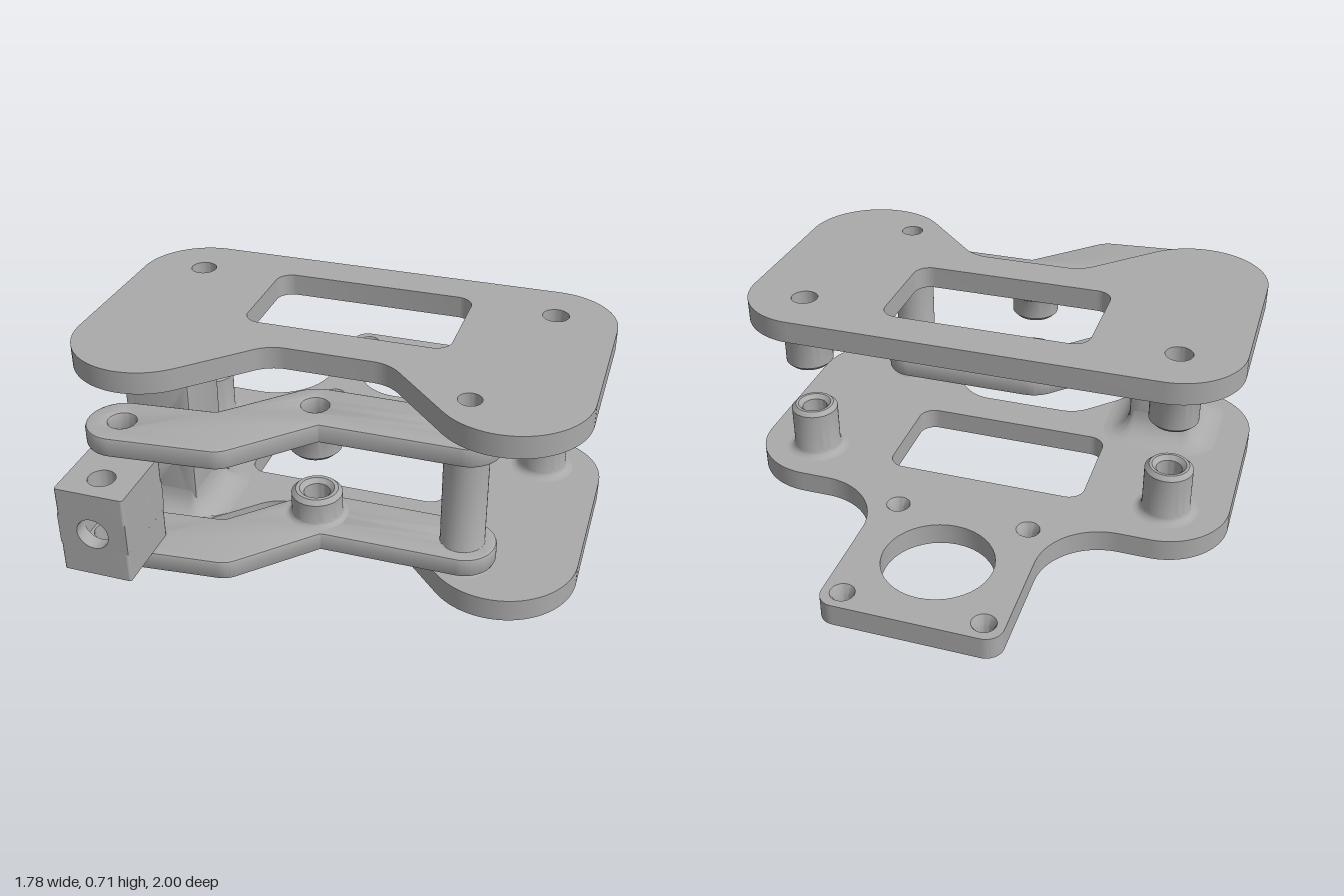
import * as THREE from 'three';
import { toCreasedNormals } from 'three/addons/utils/BufferGeometryUtils.js';

const grey = new THREE.MeshStandardMaterial({ color: 0xaaaaaa });
grey.name = 'plainGrey';

// Trace a closed polygon of [x, y, cornerRadius] with true arcs at the corners
function roundedShape(points) {
  const shape = new THREE.Shape();
  const n = points.length;
  points.forEach(([x, y, r], i) => {
    const p = new THREE.Vector2(x, y);
    const a = new THREE.Vector2(...points[(i + n - 1) % n]).sub(p).normalize();
    const b = new THREE.Vector2(...points[(i + 1) % n]).sub(p).normalize();
    const half = Math.acos(a.dot(b)) / 2;
    const t = r / Math.tan(half);
    const c = a.clone().add(b).normalize().multiplyScalar(r / Math.sin(half)).add(p);
    const s = a.multiplyScalar(t).add(p), e = b.multiplyScalar(t).add(p);
    const clockwise = s.clone().sub(p).cross(e.clone().sub(p)) > 0;
    if (i === 0) shape.moveTo(s.x, s.y); else shape.lineTo(s.x, s.y);
    shape.absarc(c.x, c.y, r, Math.atan2(s.y - c.y, s.x - c.x), Math.atan2(e.y - c.y, e.x - c.x), clockwise);
  });
  shape.closePath();
  return shape;
}

const rect = (x0, x1, y0, y1, r) => roundedShape([[x0, y0, r], [x1, y0, r], [x1, y1, r], [x0, y1, r]]);
const circle = (x, y, r) => new THREE.Path().absarc(x, y, r, 0, Math.PI * 2, false);

function extrude(shape, depth, bevel = 0) {
  return new THREE.ExtrudeGeometry(shape, {
    depth: depth - 2 * bevel, curveSegments: 20, bevelEnabled: bevel > 0,
    bevelThickness: bevel, bevelSize: bevel, bevelOffset: -bevel, bevelSegments: 2,
  }).translate(0, 0, bevel);
}

// Extrude a plan (x, z) between two heights
const slab = (shape, y0, y1, bevel) => extrude(shape, y1 - y0, bevel).rotateX(Math.PI / 2).translate(0, y1, 0);

// Hollow turned boss with a filleted foot and chamfered rim
function bossGeometry(h, hole = 0.045, R = 0.085, fillet = 0.03) {
  const pts = [[hole, 0]];
  for (let i = 0; i <= 5; i++) {
    const t = (i / 5) * Math.PI / 2;
    pts.push([R + fillet * (1 - Math.sin(t)), fillet * (1 - Math.cos(t))]);
  }
  pts.push([R, h - 0.015], [R - 0.015, h], [hole + 0.015, h], [hole, h - 0.015], [hole, 0]);
  return new THREE.LatheGeometry(pts.map((p) => new THREE.Vector2(...p)), 40);
}

// Concave skirt blending the column into the plate
function skirtGeometry(x0, x1, z0, z1, y, f) {
  const pos = [], index = [], rings = 7, seg = 32, r = 0.02;
  for (let k = 0; k < rings; k++) {
    const t = (k / (rings - 1)) * Math.PI / 2, o = f * (1 - Math.sin(t));
    for (let i = 0; i < seg; i++) {
      const corner = Math.floor(i / 8);
      const a = (corner + (i % 8) / 7) * Math.PI / 2;
      const x = (corner === 0 || corner === 3 ? x1 - r : x0 + r) + (r + o) * Math.cos(a);
      const z = (corner < 2 ? z1 - r : z0 + r) + (r + o) * Math.sin(a);
      pos.push(x, y + f * (1 - Math.cos(t)), Math.min(z, 0.118 - x)); // trimmed at the plate edge
      if (k < rings - 1) {
        const j = k * seg + i, m = k * seg + (i + 1) % seg;
        index.push(j, j + seg, m, j + seg, m + seg, m);
      }
    }
  }
  const g = new THREE.BufferGeometry();
  g.setAttribute('position', new THREE.Float32BufferAttribute(pos, 3));
  g.setIndex(index);
  g.computeVertexNormals();
  return g;
}

export function createModel() {
  const model = new THREE.Group();
  const add = (name, geometry, parent = model) => {
    const mesh = new THREE.Mesh(toCreasedNormals(geometry, 0.6), grey);
    mesh.name = name;
    parent.add(mesh);
    return mesh;
  };
  const addBoss = (name, x, y, z, geometry, down = false) => {
    const mesh = add(name, down ? geometry.rotateX(Math.PI) : geometry);
    mesh.position.set(x, y, z);
  };

  // Plates: mirrored half outline, bottom one carrying a rear mounting tab
  const front = [[-0.21, 0.33, 0.14], [-0.89, 1.008, 0.26], [-0.89, -0.37, 0.24]];
  const tab = [[-0.31, -0.37, 0.235], [-0.31, -1, 0.06]];
  const plateShape = (half) => {
    const shape = roundedShape([...half, ...half.map(([x, z, r]) => [-x, z, r]).reverse()]);
    shape.holes.push(rect(-0.37, 0.37, -0.22, 0.18, 0.06),
      circle(-0.67, -0.18, 0.047), circle(0.67, -0.18, 0.047), circle(0.51, 0.47, 0.04));
    return shape;
  };
  const bottom = plateShape([...front, ...tab]);
  bottom.holes.push(circle(0, -0.69, 0.192));
  for (const x of [-0.24, 0.24]) {
    for (const z of [-0.93, -0.44]) {
      bottom.holes.push(circle(x, z, 0.043));
      // Countersunk screw seat
      const seat = [[0.027, 0], [0.044, 0], [0.044, 0.08], [0.042, 0.08], [0.027, 0.05], [0.027, 0]];
      addBoss('screwSeat', x, 0, z, new THREE.LatheGeometry(seat.map((p) => new THREE.Vector2(...p)), 28));
    }
  }
  add('bottomPlate', slab(bottom, 0, 0.08));
  add('topPlate', slab(plateShape(front), 0.63, 0.71));

  // Rear standoffs on both plates
  for (const x of [-0.67, 0.67]) {
    addBoss('lowerStandoff', x, 0.08, -0.18, bossGeometry(0.19));
    addBoss('upperStandoff', x, 0.63, -0.18, bossGeometry(0.18), true);
  }

  // Pair of cranked arms with central bosses
  const arm = roundedShape([
    [-0.67, 0.643, 0.111], [-0.29, 0.605, 0.03], [-0.045, 0.36, 0.14], [0.625, 0.358, 0.112],
    [0.625, 0.585, 0.112], [0.05, 0.585, 0.01], [-0.19, 0.827, 0.09], [-0.67, 0.871, 0.111],
  ]);
  arm.holes.push(circle(-0.555, 0.745, 0.045), circle(0, 0.47, 0.045), circle(0.51, 0.47, 0.04));
  add('lowerArm', slab(arm, 0.1, 0.17, 0.01));
  add('upperArm', slab(arm, 0.53, 0.6, 0.01));
  addBoss('lowerArmBoss', 0, 0.17, 0.47, bossGeometry(0.1, 0.045, 0.088, 0.02));
  addBoss('upperArmBoss', 0, 0.53, 0.47, bossGeometry(0.1, 0.045, 0.088, 0.02), true);

  // Pivot pillar and its spacers
  addBoss('pivotPillar', 0.51, 0.17, 0.47, bossGeometry(0.355, 0.04, 0.075, 0.002));
  addBoss('lowerSpacer', 0.51, 0.08, 0.47, bossGeometry(0.021, 0.04, 0.085, 0.015));
  addBoss('upperSpacer', 0.51, 0.63, 0.47, bossGeometry(0.031, 0.04, 0.085, 0.015), true);

  // Column on the bottom plate with a cross bore
  const [x0, x1, cx] = [-0.675, -0.44, -0.5575];
  const column = rect(x0, x1, 0.07, 0.62, 0.015);
  column.holes.push(circle(cx, 0.33, 0.05));
  add('column', extrude(column, 0.24, 0.008).translate(0, 0, 0.26));
  add('columnSkirt', skirtGeometry(x0, x1, 0.26, 0.5, 0.08, 0.1));

  // End block: bored caps above and below a middle layer with the cross bore
  const block = new THREE.Group();
  block.name = 'endBlock';
  model.add(block);
  const cap = rect(x0, x1, 0.74, 1, 0.008);
  cap.holes.push(circle(cx, 0.905, 0.045));
  add('blockBottom', slab(cap, 0.17, 0.2755), block);
  add('blockTop', slab(cap, 0.3845, 0.48), block);
  for (const [z0, z1] of [[0.74, 0.86], [0.95, 1]]) {
    const middle = rect(x0, x1, 0.2755, 0.3845, 0.0001);
    middle.holes.push(circle(cx, 0.33, 0.0543));
    add('blockMiddle', extrude(middle, z1 - z0).translate(0, 0, z0), block);
  }
  for (const x of [(x0 + cx - 0.0543) / 2, (x1 + cx + 0.0543) / 2]) {
    add('blockCheek', new THREE.BoxGeometry((x1 - x0) / 2 - 0.0543, 0.109, 0.09).translate(x, 0.33, 0.905), block);
  }
  return model;
}
